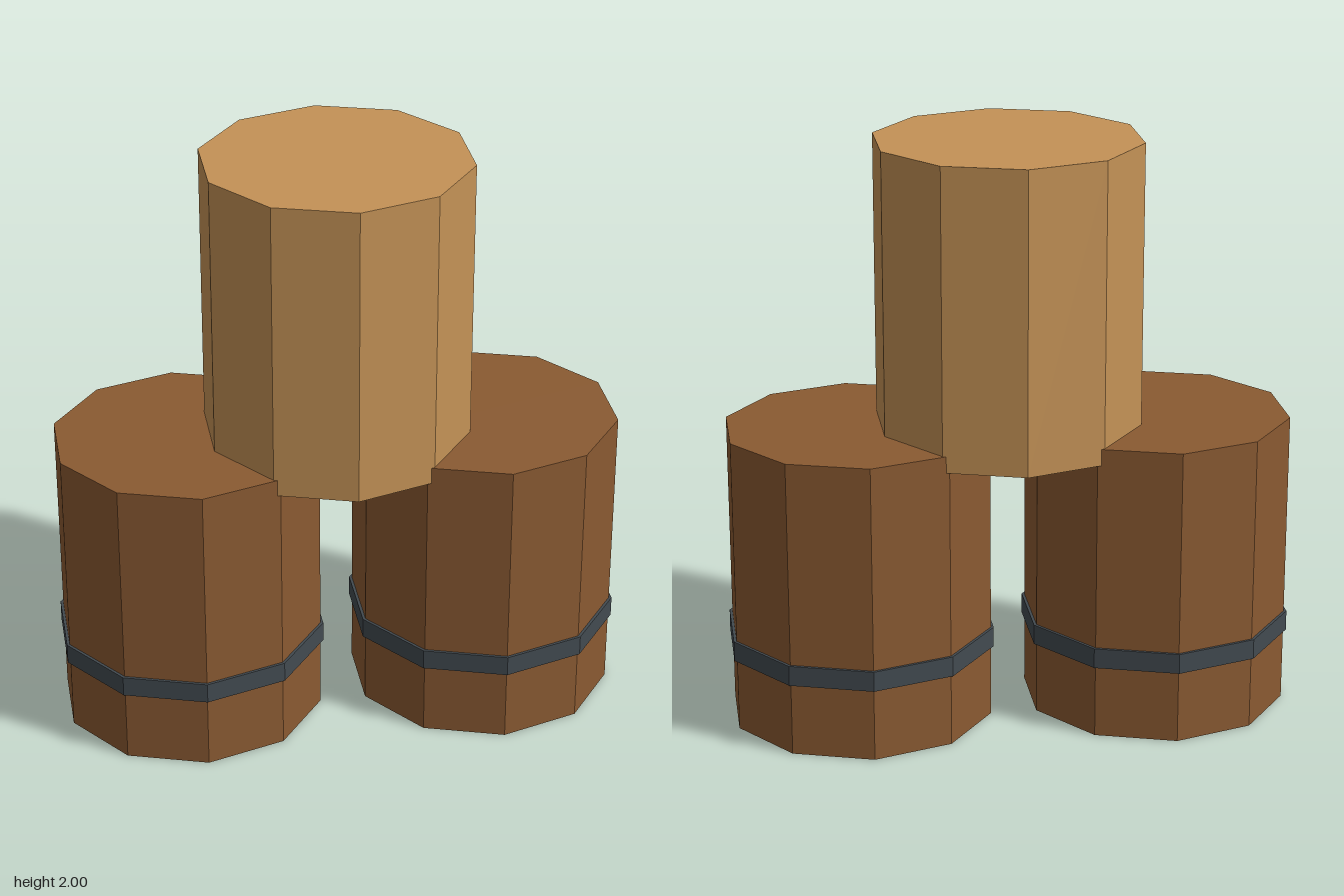
import * as THREE from 'three';

const SIDES = 10;

function flat(name, color) {
  const m = new THREE.MeshStandardMaterial({ color, flatShading: true });
  m.name = name;
  return m;
}

// Upright ten-sided drum spanning y0..y1
function drum(name, radius, y0, y1, material) {
  const mesh = new THREE.Mesh(new THREE.CylinderGeometry(radius, radius, y1 - y0, SIDES), material);
  mesh.name = name;
  mesh.position.y = (y0 + y1) / 2;
  return mesh;
}

export function createModel() {
  const darkWood = flat('darkWood', 0x8a5a32);
  const lightWood = flat('lightWood', 0xc49256);
  const iron = flat('iron', 0x424a50);

  const model = new THREE.Group();
  model.name = 'stackedBarrels';

  // Two lower barrels, each with an iron hoop
  for (const [name, side] of [['leftBarrel', 1], ['rightBarrel', -1]]) {
    const barrel = new THREE.Group();
    barrel.name = name;
    barrel.position.x = side * 0.514;
    barrel.add(drum('barrelBody', 0.457, 0, 1.03, darkWood));
    barrel.add(drum('barrelHoop', 0.467, 0.252, 0.322, iron));
    model.add(barrel);
  }

  // Lighter barrel resting on both, sunk slightly into their tops
  model.add(drum('topBarrel', 0.457, 0.973, 2, lightWood));

  return model;
}
